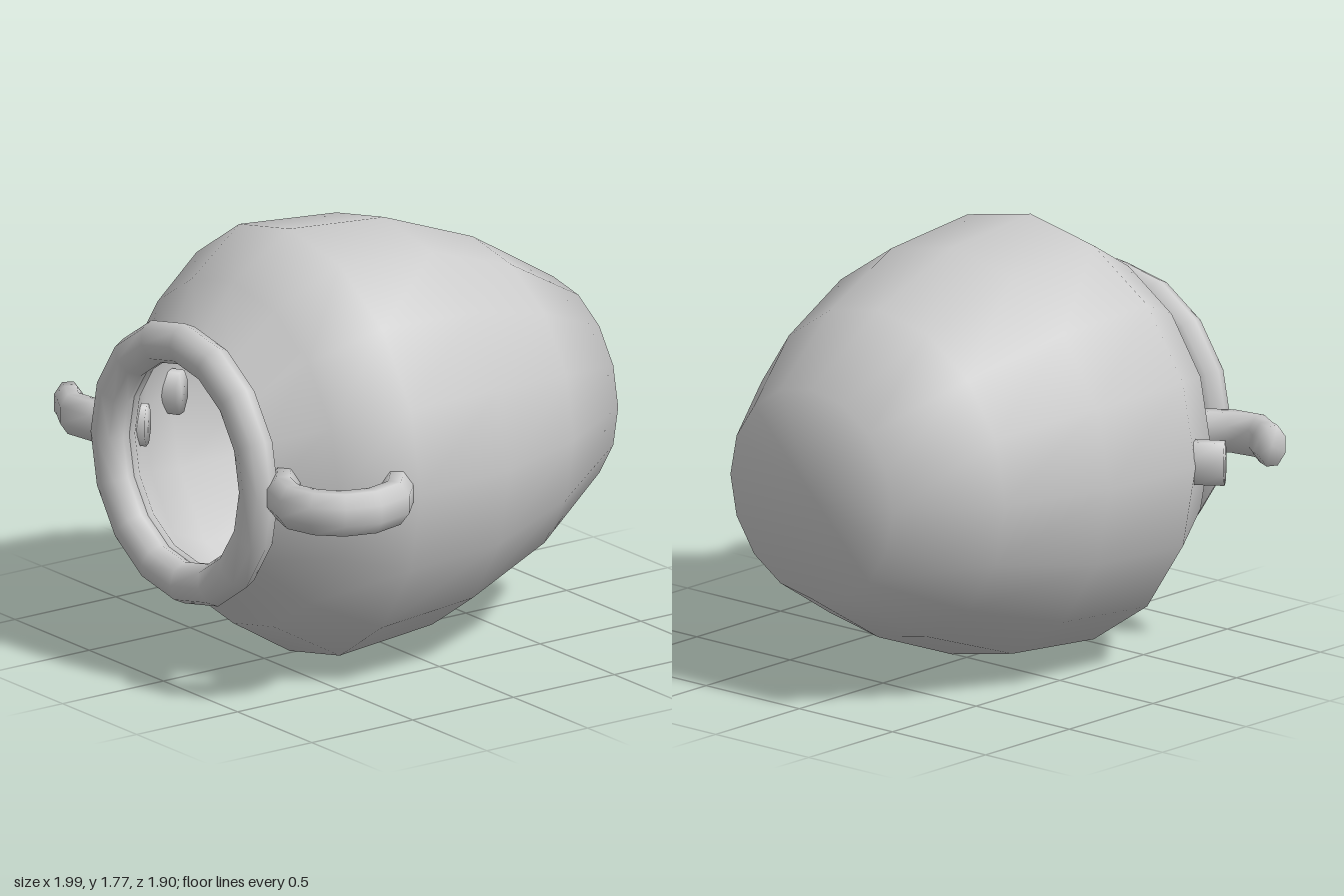
import * as THREE from 'three';

const material = new THREE.MeshStandardMaterial({ color: 0xcccccc });
const CX = -0.02, CY = 0.89; // axis of the pot, which lies along z
const SIDES = 16;

function addMesh(group, name, geometry) {
  const mesh = new THREE.Mesh(geometry, material);
  mesh.name = name;
  group.add(mesh);
  return mesh;
}

// Capped tube with oval section, along a path of [x, z] points at handle height
function handleGeometry(path, halfWidth = 0.065, halfHeight = 0.088, sides = 8) {
  const pos = [], idx = [], last = path.length - 1;
  path.forEach(([x, z], i) => {
    const a = path[Math.max(i - 1, 0)], b = path[Math.min(i + 1, last)];
    const t = new THREE.Vector2(b[0] - a[0], b[1] - a[1]).normalize();
    for (let j = 0; j < sides; j++) {
      const angle = ((j + 0.5) / sides) * Math.PI * 2;
      const w = (Math.cos(angle) * halfWidth) / Math.cos(Math.PI / sides);
      const h = (Math.sin(angle) * halfHeight) / Math.cos(Math.PI / sides);
      pos.push(x + t.y * w, 0.895 + h, z - t.x * w);
    }
  });
  const start = path.length * sides, end = start + 1;
  for (const [x, z] of [path[0], path[last]]) pos.push(x, 0.895, z);
  for (let j = 0; j < sides; j++) {
    const k = (j + 1) % sides;
    for (let i = 0; i < last; i++) {
      const p = i * sides, q = p + sides;
      idx.push(p + j, p + k, q + j, p + k, q + k, q + j);
    }
    idx.push(start, k, j, end, last * sides + j, last * sides + k);
  }
  const g = new THREE.BufferGeometry();
  g.setAttribute('position', new THREE.Float32BufferAttribute(pos, 3));
  g.setIndex(idx);
  g.computeVertexNormals();
  return g;
}

export function createModel() {
  const pot = new THREE.Group();
  pot.name = 'pot';

  // Hollow body: flat base, outer wall to the neck, then back along the inner wall
  const profile = [
    [0, -0.95], [0.435, -0.95], [0.68, -0.55], [0.845, -0.11], [0.885, 0.36],
    [0.715, 0.64], [0.485, 0.81], [0.5, 0.88],
    [0.44, 0.86], [0.43, 0.81], [0.655, 0.6], [0.82, 0.35], [0.785, -0.11],
    [0.62, -0.53], [0.4, -0.88], [0, -0.88],
  ].map(([r, z]) => new THREE.Vector2(r, z));
  const body = addMesh(pot, 'body', new THREE.LatheGeometry(profile, SIDES).rotateX(Math.PI / 2));
  body.position.set(CX, CY, 0);

  // Rolled rim around the mouth
  const rim = addMesh(pot, 'rim', new THREE.TorusGeometry(0.5, 0.087, 8, SIDES).scale(1, 1, 0.86));
  rim.position.set(CX, CY, 0.88);

  // Whole handle on the left
  addMesh(pot, 'leftHandle', handleGeometry([
    [0.72, 0.38], [0.82, 0.445], [0.905, 0.52], [0.935, 0.65], [0.9, 0.765],
    [0.82, 0.845], [0.705, 0.878], [0.59, 0.84], [0.49, 0.76],
  ]));

  // Two stubs of the broken handle on the right
  addMesh(pot, 'rightHandleShoulderStub', handleGeometry([
    [-0.76, 0.35], [-0.87, 0.41], [-0.96, 0.475],
  ], 0.058));
  addMesh(pot, 'rightHandleNeckStub', handleGeometry([
    [-0.5, 0.71], [-0.57, 0.77], [-0.67, 0.84], [-0.8, 0.86], [-0.88, 0.81], [-0.935, 0.785],
  ], 0.058, 0.083));

  return pot;
}
